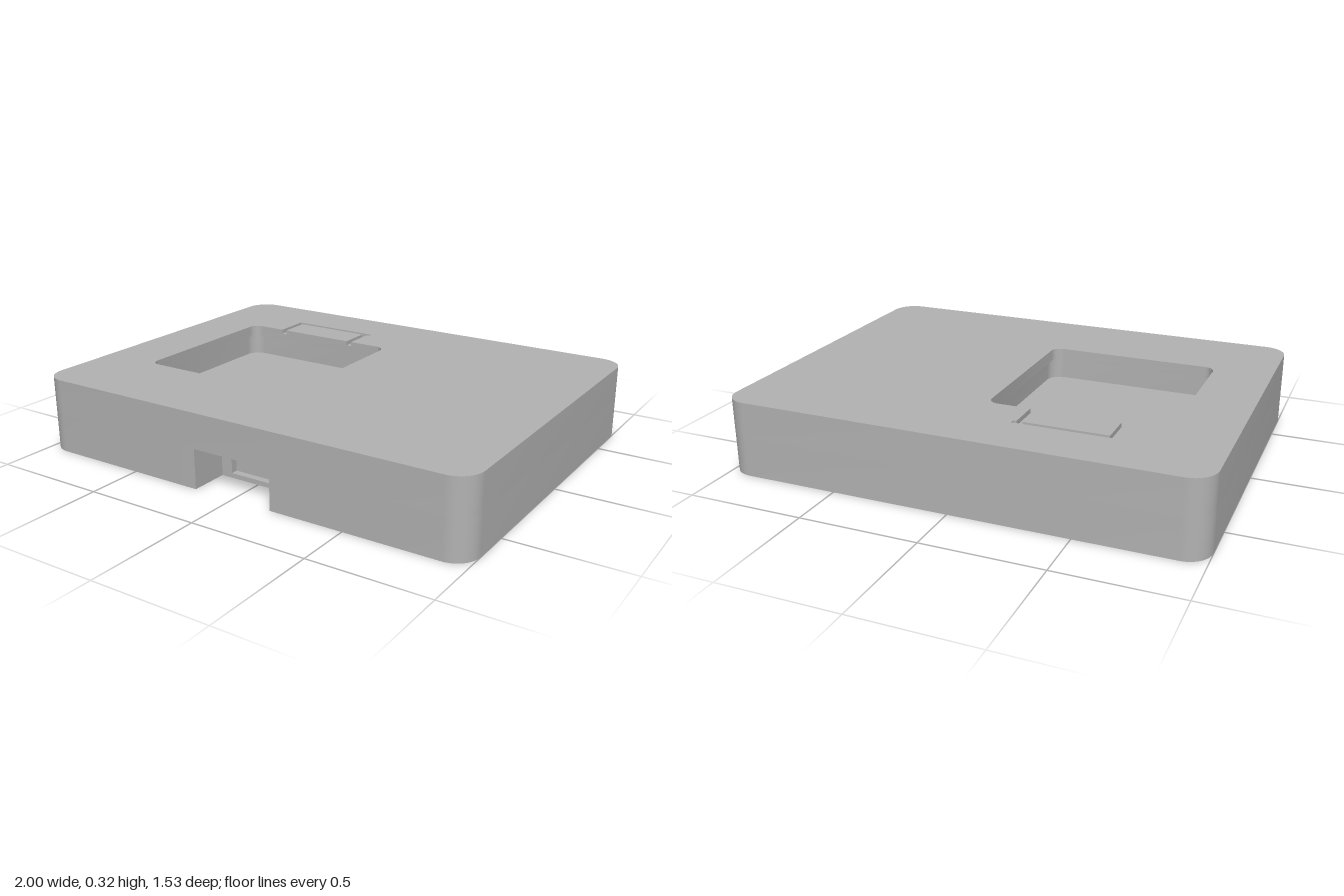
import * as THREE from 'three';
import { toCreasedNormals } from 'three/addons/utils/BufferGeometryUtils.js';

// Plan outlines are counter-clockwise Vector2 lists (x, v) with v = -z.
const P = (x, v) => new THREE.Vector2(x, v);

// Rounded rectangle; n + 1 points per corner, starting at the front left corner
function roundedRect(x0, x1, v0, v1, r, n = 8) {
  const pts = [];
  [[x1 - r, v0 + r], [x1 - r, v1 - r], [x0 + r, v1 - r], [x0 + r, v0 + r]].forEach(([cx, cv], q) => {
    for (let i = 0; i <= n; i++) {
      const a = (q - 1 + i / n) * Math.PI / 2;
      pts.push(P(cx + r * Math.cos(a), cv + r * Math.sin(a)));
    }
  });
  return pts;
}

const rect = (x0, x1, v0, v1) => [P(x0, v0), P(x1, v0), P(x1, v1), P(x0, v1)];

function circle(x, v, r, n = 24) {
  return Array.from({ length: n }, (_, i) => {
    const a = i / n * Math.PI * 2;
    return P(x + r * Math.cos(a), v + r * Math.sin(a));
  });
}

// Upright strip along an outline, facing outward
function wall(pts, y0, y1, closed = true) {
  const pos = [];
  const count = closed ? pts.length : pts.length - 1;
  for (let i = 0; i < count; i++) {
    const a = pts[i], b = pts[(i + 1) % pts.length];
    pos.push(a.x, y0, -a.y, b.x, y0, -b.y, b.x, y1, -b.y);
    pos.push(a.x, y0, -a.y, b.x, y1, -b.y, a.x, y1, -a.y);
  }
  const g = new THREE.BufferGeometry();
  g.setAttribute('position', new THREE.Float32BufferAttribute(pos, 3));
  g.computeVertexNormals();
  return toCreasedNormals(g, 0.6);
}

// Flat level face with holes, facing up or down
function cap(pts, y, up, holes = []) {
  const shape = new THREE.Shape(pts);
  shape.holes = holes.map(h => new THREE.Path(h));
  const g = new THREE.ShapeGeometry(shape);
  g.rotateX(-Math.PI / 2).translate(0, y, 0);
  if (!up) {
    const ix = g.index;
    for (let i = 0; i < ix.count; i += 3) {
      const t = ix.getX(i);
      ix.setX(i, ix.getX(i + 1));
      ix.setX(i + 1, t);
    }
    g.computeVertexNormals();
  }
  return g;
}

export function createModel() {
  const model = new THREE.Group();
  const grey = new THREE.MeshStandardMaterial({ color: 0xb3b3b3 });
  grey.name = 'grey plastic';

  function part(name, ...geometries) {
    const group = new THREE.Group();
    group.name = name;
    geometries.forEach(g => {
      const mesh = new THREE.Mesh(g, grey);
      mesh.name = name + 'Face';
      group.add(mesh);
    });
    model.add(group);
    return group;
  }

  // Inward-facing sides and a floor, with optional holes in the floor
  function recess(name, pts, yOpen, yFloor, holes = []) {
    const sides = wall([...pts].reverse(), Math.min(yOpen, yFloor), Math.max(yOpen, yFloor));
    return part(name, sides, cap(pts, yFloor, yOpen > yFloor, holes));
  }

  const H = 0.32, D = 0.765, notchTop = 0.17, notchV = -0.6;
  const outline = roundedRect(-1, 1, -D, D, 0.1, 12);

  // Lower outline runs around the notch at the front; its closing edge is the notch back
  const notched = [P(0.18, notchV), P(0.18, -D), ...outline, P(-0.18, -D), P(-0.18, notchV)];
  part('outerWall', wall(notched, 0, notchTop, false), wall(outline, notchTop, H));
  part('notchCeiling', cap(rect(-0.18, 0.18, -D, notchV), notchTop, false));

  // Port in the back of the notch, built lying down and turned to face forward
  const port = rect(-0.13, 0.13, 0.02, 0.12);
  part('notchBack', cap(rect(-0.18, 0.18, 0, notchTop), -notchV, true, [port])).rotation.x = Math.PI / 2;
  recess('portRecess', port, -notchV, -notchV - 0.03).rotation.x = Math.PI / 2;

  // Top face, opened by the pocket and the wire groove behind it
  const lipY = 0.27, grooveY = 0.3, floorY = 0.175;
  const pocket = roundedRect(-0.75, 0, -0.375, 0.38, 0.045);
  const half = pocket.length / 2;
  const grooveEdge = [P(-0.185, 0.38), P(-0.185, 0.52), P(-0.172, 0.52), P(-0.172, 0.54), P(-0.585, 0.54), P(-0.585, 0.38)];
  const opening = [...pocket.slice(0, half), ...grooveEdge, ...pocket.slice(half)];
  const island = rect(-0.56, -0.21, 0.38, 0.52);
  part('topFace', cap(outline, H, true, [opening]));
  part('grooveIsland', cap(island, H, true), wall(island, grooveY, H));
  part('grooveFloor', cap([...grooveEdge, P(-0.56, 0.38), P(-0.56, 0.52), P(-0.21, 0.52), P(-0.21, 0.38)], grooveY, true));

  // Pocket lip with a slightly wider cavity below it
  const cavity = roundedRect(-0.77, 0.02, -0.395, 0.4, 0.06);
  part('pocketLip',
    wall([...opening].reverse(), grooveY, H),
    wall([...pocket].reverse(), lipY, grooveY),
    cap(cavity, lipY, false, [pocket]));
  recess('pocketCavity', cavity, lipY, floorY);

  // Underside with its recesses
  const hatch = roundedRect(0.15, 0.8, -0.58, -0.06, 0.04);
  const hatchHole = rect(0.555, 0.62, -0.125, -0.065);
  const slot = roundedRect(0.335, 0.605, 0.25, 0.395, 0.035);
  const wireHole = circle(0.56, 0.155, 0.03);
  const roundHoles = [[-0.425, 0.04], [-0.61, 0.028], [-0.79, 0.018]].map(([x, r]) => circle(x, -0.588, r));
  part('underside', cap(notched, 0, false, [hatch, slot, wireHole, ...roundHoles]));
  recess('hatchRecess', hatch, 0, 0.03, [hatchHole]);
  recess('hatchHole', hatchHole, 0.03, 0.13);
  recess('slotRecess', slot, 0, 0.07);
  recess('wireHole', wireHole, 0, 0.12);
  roundHoles.forEach(h => recess('roundHole', h, 0, 0.12));

  return model;
}
